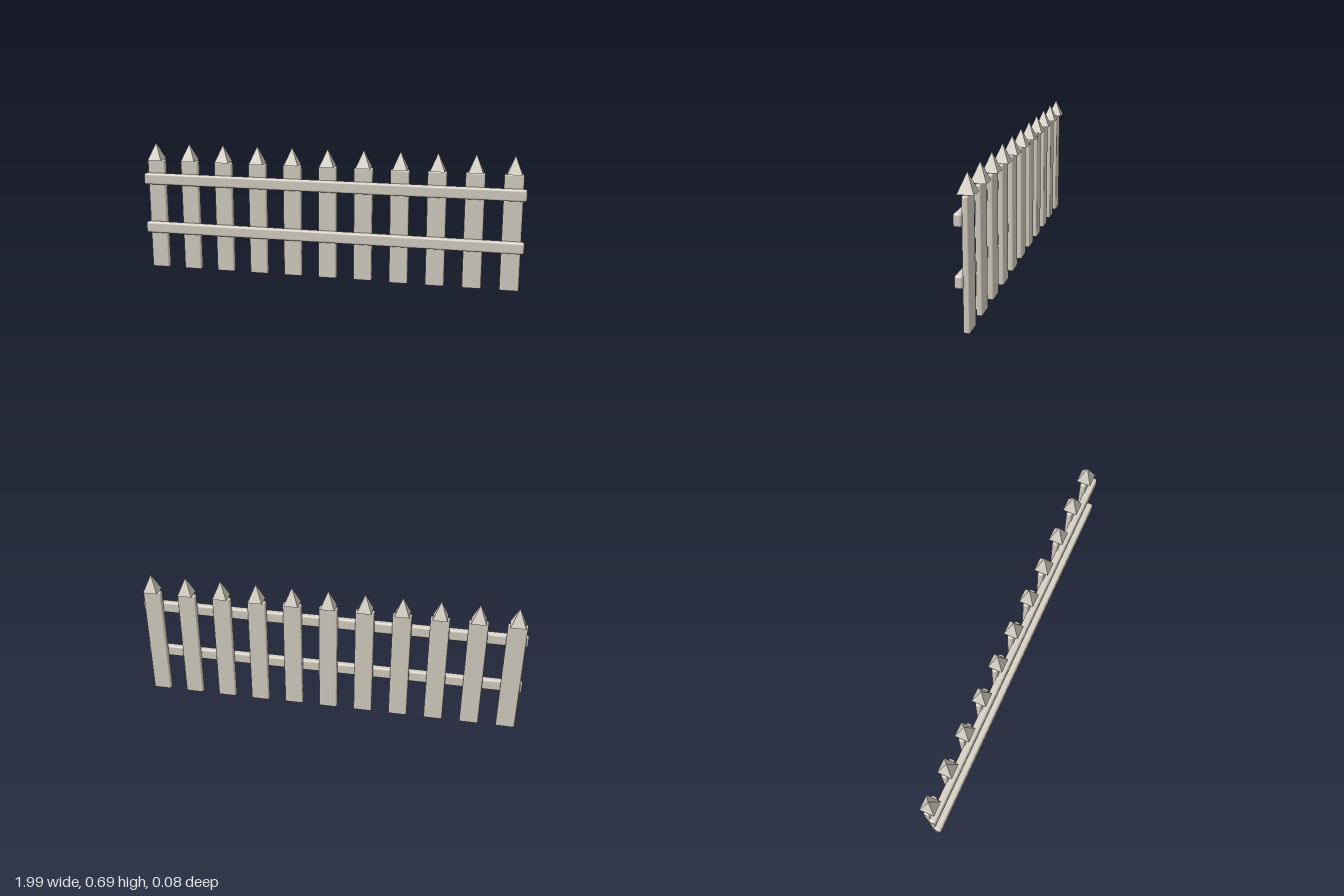
import * as THREE from 'three';
import { RoundedBoxGeometry } from 'three/addons/geometries/RoundedBoxGeometry.js';

export function createModel() {
  const fence = new THREE.Group();
  fence.name = 'picketFence';

  const wood = new THREE.MeshStandardMaterial({ color: 0xd6d0c4 });
  wood.name = 'pale wood';

  const add = (name, geometry, x, y, z) => {
    const mesh = new THREE.Mesh(geometry, wood);
    mesh.name = name;
    mesh.position.set(x, y, z);
    fence.add(mesh);
    return mesh;
  };

  // Upright boards with softened edges, each with a square pointed cap
  const board = new RoundedBoxGeometry(0.096, 0.596, 0.03, 2, 0.008);
  const cap = new THREE.ConeGeometry(0.037 * Math.SQRT2, 0.09, 4)
    .rotateY(Math.PI / 4).toNonIndexed();
  cap.computeVertexNormals();

  const count = 11;
  for (let i = 0; i < count; i++) {
    const x = -0.935 + i * 0.1866;
    // the boards toward the left end lean and sit very slightly lower
    const drop = i > 6 ? 0.003 : 0;
    add(`picket${i + 1}`, board, x, 0.303 - drop, -0.004).rotation.z = i > 6 ? 0.004 : 0;
    add(`picketCap${i + 1}`, cap, x, 0.645, -0.004);
  }

  // Two rails along the front
  const rail = new RoundedBoxGeometry(1.99, 0.059, 0.037, 2, 0.01);
  add('upperRail', rail, 0, 0.5, 0.0235);
  add('lowerRail', rail, 0, 0.234, 0.0235);

  return fence;
}
